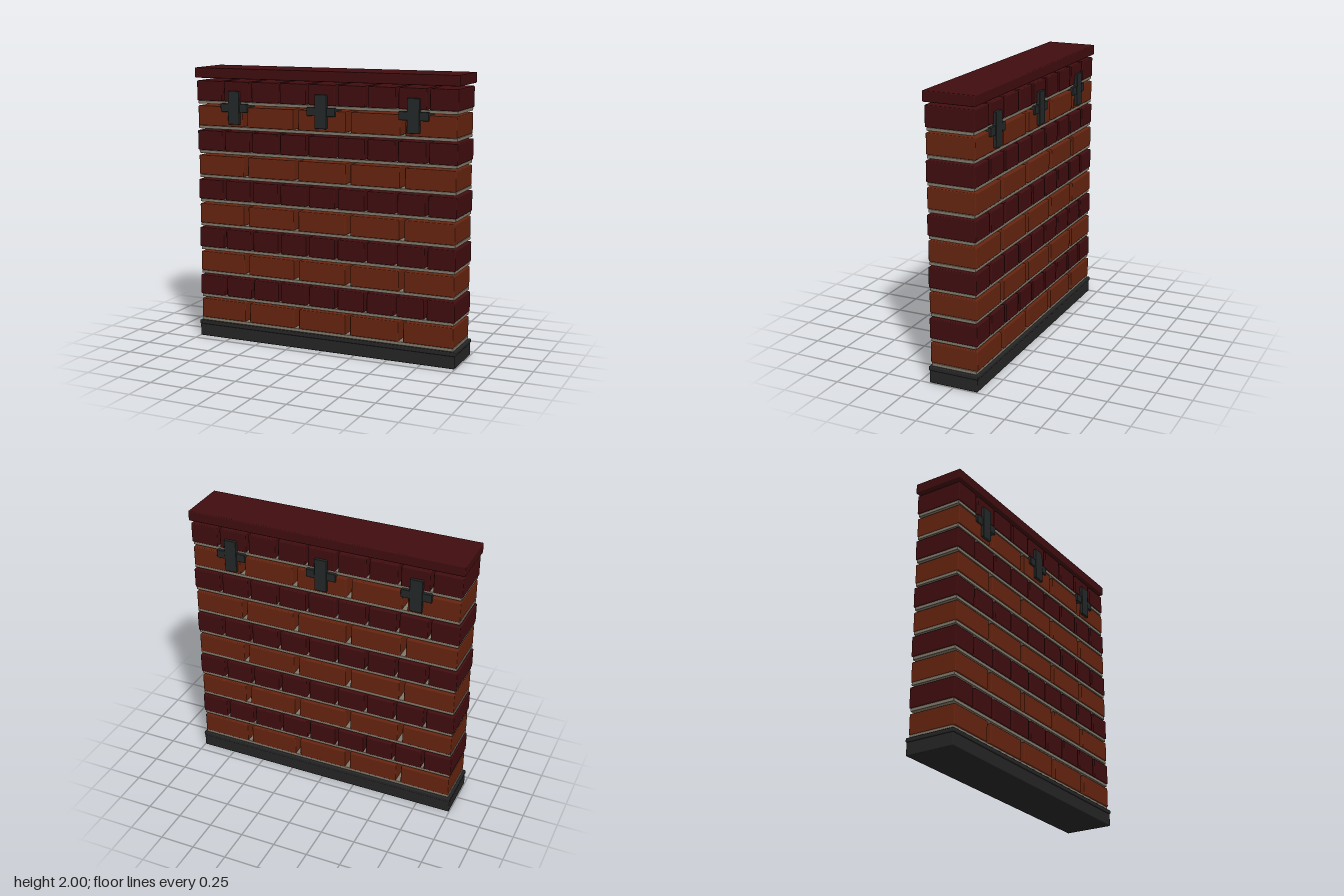
import * as THREE from 'three';
import { RoundedBoxGeometry } from 'three/addons/geometries/RoundedBoxGeometry.js';

function material(name, color) {
  const m = new THREE.MeshStandardMaterial({ color });
  m.name = name;
  return m;
}

export function createModel() {
  const wall = new THREE.Group();
  wall.name = 'brickWall';

  const darkBrick = material('dark red brick', 0x400d0f);
  const orangeBrick = material('orange brick', 0x65240f);
  const mortar = material('mortar', 0x81786a);
  const stone = material('black stone', 0x252525);
  const iron = material('wrought iron', 0x242727);

  // softly bevelled block spanning y0..y1, centred on x and z = 0
  function block(parent, name, mat, w, y0, y1, d, x = 0, r = 0.007) {
    const mesh = new THREE.Mesh(new RoundedBoxGeometry(w, y1 - y0, d, 2, r), mat);
    mesh.name = name;
    mesh.position.set(x, (y0 + y1) / 2, 0);
    parent.add(mesh);
    return mesh;
  }

  // plinth and its ledge
  block(wall, 'plinth', stone, 1.994, 0, 0.092, 0.36);
  block(wall, 'plinthLedge', stone, 2, 0.09, 0.12, 0.37);

  // alternating courses of long stretchers and short headers on mortar beds
  const pitch = 0.18;
  for (let row = 0; row < 10; row++) {
    const y = 0.143 + row * pitch;
    const course = new THREE.Group();
    course.name = `course${row + 1}`;
    wall.add(course);

    block(course, 'mortarBed', mortar, 1.965, y - 0.023, y, 0.336, 0, 0.003);

    const long = row % 2 === 0;
    const count = long ? 5 : 9;
    const step = 2 / count;
    const width = long ? 0.362 : 0.2;
    for (let i = 0; i < count; i++) {
      const x = (i - (count - 1) / 2) * step;
      block(course, long ? 'stretcherBrick' : 'headerBrick', long ? orangeBrick : darkBrick,
        width, y, y + 0.144, 0.352, x);
    }
  }

  // coping slab
  block(wall, 'coping', darkBrick, 2, 1.927, 2, 0.37);

  // iron tie crosses running through the wall, showing on both faces
  for (const x of [-0.68, 0, 0.68]) {
    const tie = new THREE.Group();
    tie.name = 'ironTie';
    tie.position.x = x;
    wall.add(tie);
    block(tie, 'tieUpright', iron, 0.09, 1.603, 1.84, 0.394, 0, 0.005);
    block(tie, 'tieCrossbar', iron, 0.216, 1.69, 1.75, 0.382, 0, 0.005);
  }

  return wall;
}
